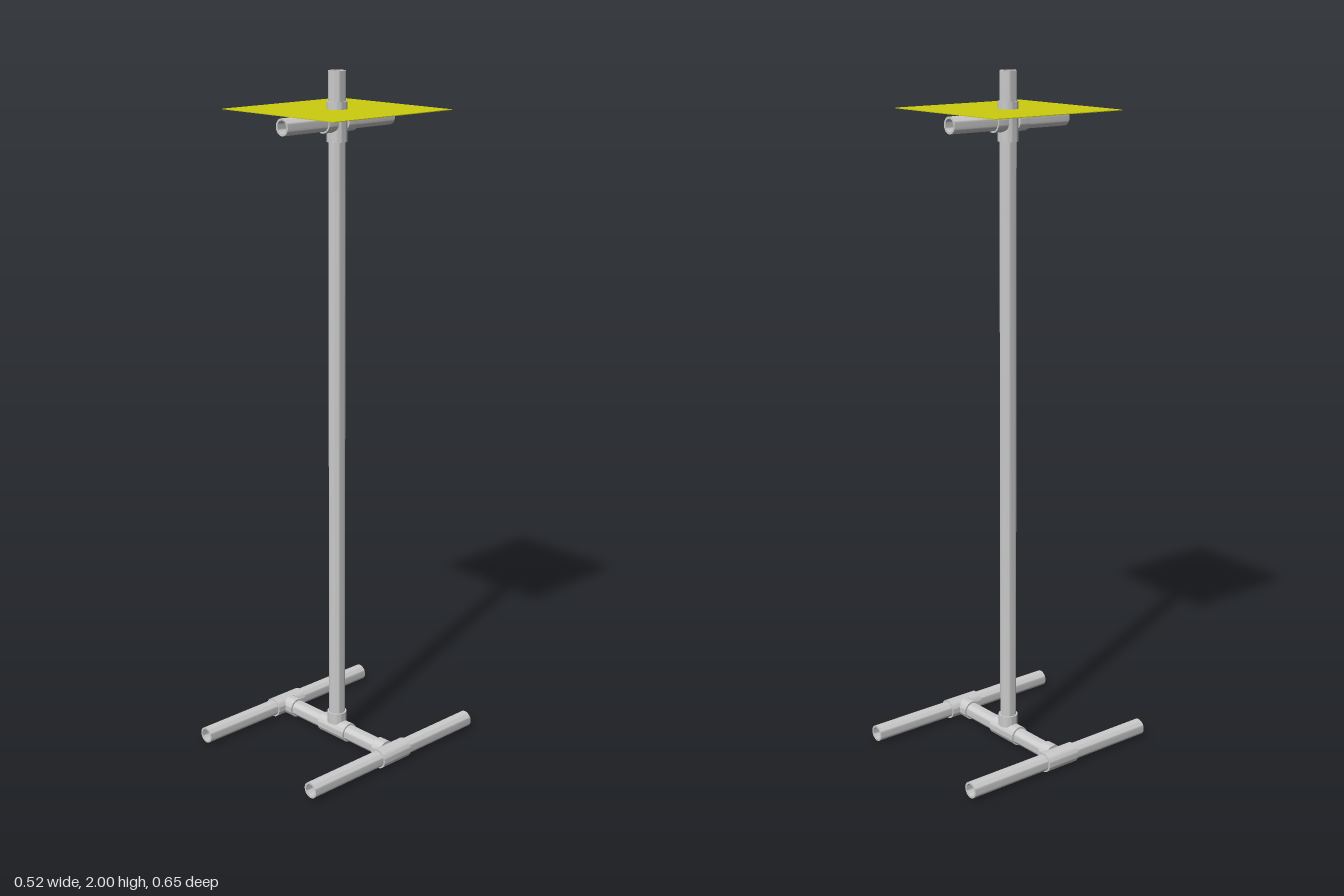
import * as THREE from 'three';
import { toCreasedNormals } from 'three/addons/utils/BufferGeometryUtils.js';

const BORE = 0.018, PIPE = 0.024, SOCKET = 0.029;
const BASE_Y = 0.029, ARM_Y = 1.862, LEG_X = 0.232, REACH = 0.055, START = 0.02;

const grey = new THREE.MeshStandardMaterial({ color: 0xcccccc });
const yellow = new THREE.MeshStandardMaterial({ color: 0xcccc0f });
const UP = new THREE.Vector3(0, 1, 0);
const v = (x, y, z) => new THREE.Vector3(x, y, z);

// Hollow round tube between two points
function tube(name, from, to, inner, outer) {
  const h = from.distanceTo(to) / 2;
  const profile = [[inner, -h], [outer, -h], [outer, h], [inner, h], [inner, -h]]
    .map(([r, y]) => new THREE.Vector2(r, y));
  const mesh = new THREE.Mesh(toCreasedNormals(new THREE.LatheGeometry(profile, 32), 0.7), grey);
  mesh.name = name;
  mesh.position.copy(from).add(to).multiplyScalar(0.5);
  mesh.quaternion.setFromUnitVectors(UP, to.clone().sub(from).normalize());
  return mesh;
}
const pipe = (name, from, to) => tube(name, from, to, BORE, PIPE);

// Pipe fitting: a straight sleeve along one axis plus side sockets
function fitting(name, centre, axis, branches) {
  const group = new THREE.Group();
  group.name = name;
  const at = (dir, d) => dir.clone().multiplyScalar(d);
  group.add(tube('sleeve', at(axis, -REACH), at(axis, REACH), PIPE, SOCKET));
  for (const dir of branches) group.add(tube('socket', at(dir, START), at(dir, REACH), PIPE, SOCKET));
  group.position.copy(centre);
  return group;
}

export function createModel() {
  const model = new THREE.Group();
  model.name = 'pipeStand';
  const X = v(1, 0, 0), Z = v(0, 0, 1);

  // Base: two legs joined by a crossbar
  for (const s of [-1, 1]) {
    const x = s * LEG_X;
    model.add(
      pipe('leg', v(x, BASE_Y, -0.325), v(x, BASE_Y, 0.325)),
      fitting('legTee', v(x, BASE_Y, 0), Z, [v(-s, 0, 0)])
    );
  }
  model.add(
    pipe('crossbar', v(START - LEG_X, BASE_Y, 0), v(LEG_X - START, BASE_Y, 0)),
    fitting('baseTee', v(0, BASE_Y, 0), X, [UP])
  );

  // Upright post
  model.add(pipe('post', v(0, BASE_Y + START, 0), v(0, 2, 0)));

  // Arms under the plate
  model.add(fitting('topCross', v(0, ARM_Y, 0), UP, [Z, v(0, 0, -1)]));
  for (const s of [-1, 1]) {
    model.add(pipe('arm', v(0, ARM_Y, s * START), v(0, ARM_Y, s * 0.203)));
  }

  // Thin square plate around the post
  const half = 0.222;
  const square = new THREE.Shape([[-half, -half], [half, -half], [half, half], [-half, half]]
    .map(([x, y]) => new THREE.Vector2(x, y)));
  square.holes.push(new THREE.Path().absarc(0, 0, SOCKET - 0.002, 0, Math.PI * 2, true));
  const plate = new THREE.Mesh(
    new THREE.ExtrudeGeometry(square, { depth: 0.002, bevelEnabled: false, curveSegments: 24 }), yellow);
  plate.name = 'plate';
  plate.rotation.x = -Math.PI / 2;
  plate.position.y = 1.894;
  model.add(plate);

  return model;
}
